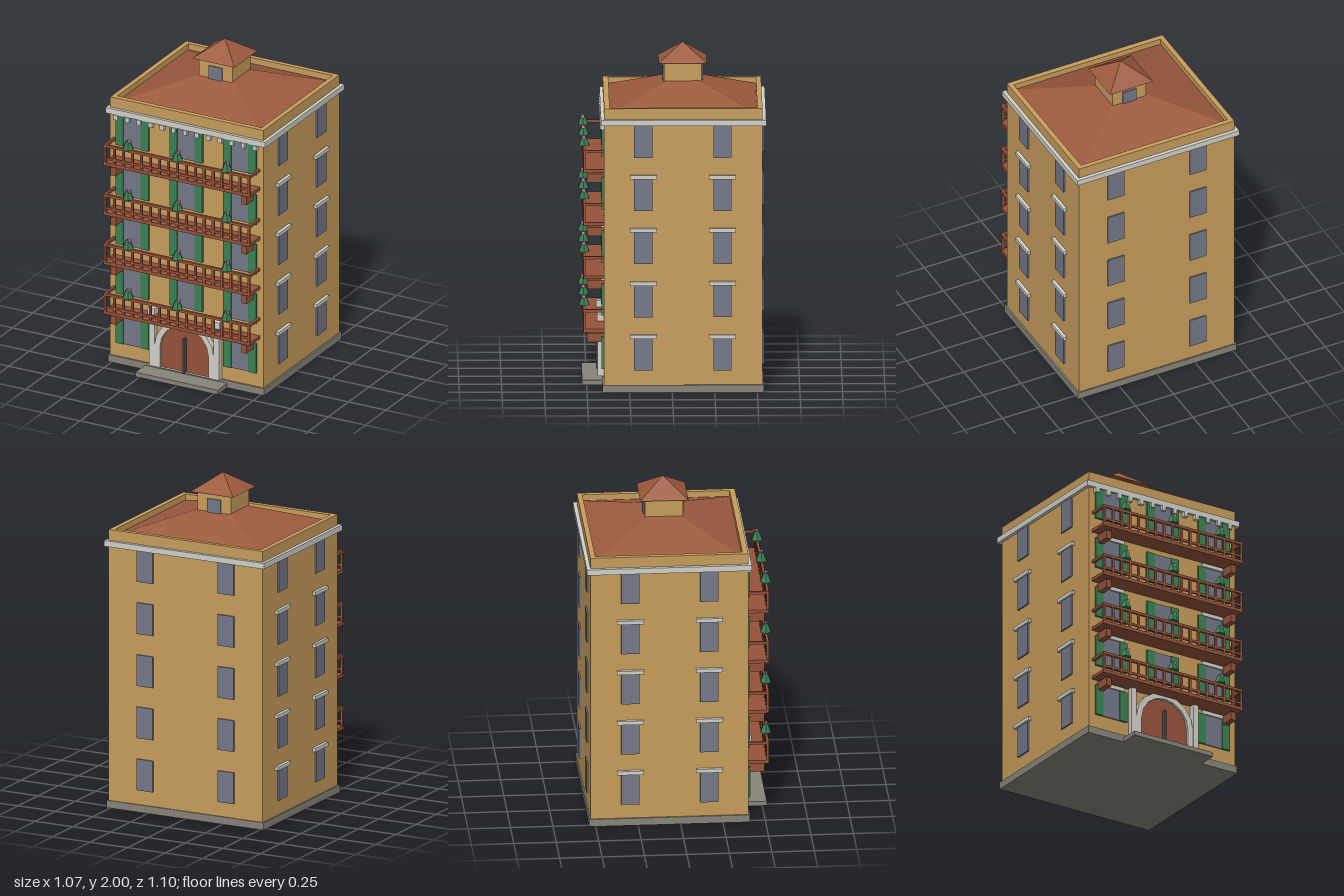
import * as THREE from 'three';

export function createModel() {
  const model = new THREE.Group();
  model.name = 'apartmentBuilding';

  const paint = (name, color) => {
    const m = new THREE.MeshStandardMaterial({ color });
    m.name = name;
    return m;
  };
  const wall = paint('ochreWall', 0xc89d5c);
  const trim = paint('paleTrim', 0xd2d2ca);
  const stone = paint('greyStone', 0x88847a);
  const roofTile = paint('roofTile', 0x9c5a3e);
  const wood = paint('redWood', 0x96533a);
  const glass = paint('windowGlass', 0x747888);
  const shutterGreen = paint('shutterGreen', 0x3a8254);
  const leaf = paint('leafGreen', 0x347a50);
  const pink = paint('flowerPink', 0xd882a0);
  const iron = paint('darkIron', 0x4c505c);

  const add = (name, geo, mat, parent = model) => {
    const mesh = new THREE.Mesh(geo, mat);
    mesh.name = name;
    parent.add(mesh);
    return mesh;
  };
  // box from its limits on each axis
  const box = (name, mat, x0, x1, y0, y1, z0, z1, parent) => {
    const mesh = add(name, new THREE.BoxGeometry(x1 - x0, y1 - y0, z1 - z0), mat, parent);
    mesh.position.set((x0 + x1) / 2, (y0 + y1) / 2, (z0 + z1) / 2);
    return mesh;
  };
  const group = (name, parent = model) => {
    const g = new THREE.Group();
    g.name = name;
    parent.add(g);
    return g;
  };
  // faceted four-sided pyramid
  const pyramid = (name, mat, hx, hz, y0, y1) => {
    let geo = new THREE.ConeGeometry(Math.SQRT2, 1, 4).rotateY(Math.PI / 4);
    geo.scale(hx, y1 - y0, hz);
    geo = geo.toNonIndexed();
    geo.computeVertexNormals();
    add(name, geo, mat).position.set(0, (y0 + y1) / 2, CZ);
  };

  const HX = 0.513, FRONT = 0.4, BACK = -0.53, CZ = -0.065;
  const FLOOR = 0.3175, SILL = 0.133, HEAD = 0.323;

  // main block, plinth, step and cornice
  box('plinth', stone, -0.523, 0.523, 0, 0.045, -0.538, 0.41);
  box('entranceStep', stone, -0.275, 0.275, 0, 0.028, 0.39, 0.527);
  box('walls', wall, -HX, HX, 0.045, 1.655, BACK, FRONT);
  box('cornice', trim, -0.534, 0.534, 1.595, 1.63, -0.552, 0.419);
  for (let i = -6; i <= 6; i++) {
    const x = i * 0.0775;
    box('dentil', trim, x - 0.013, x + 0.013, 1.565, 1.595, 0.39, 0.425);
  }

  // parapet ring
  const parapet = group('parapet');
  for (const s of [-1, 1]) {
    box('parapetSide', wall, s * 0.498 - 0.015, s * 0.498 + 0.015, 1.63, 1.695, BACK, FRONT, parapet);
  }
  box('parapetFront', wall, -0.483, 0.483, 1.63, 1.695, FRONT - 0.033, FRONT, parapet);
  box('parapetBack', wall, -0.483, 0.483, 1.63, 1.695, BACK, BACK + 0.03, parapet);

  // hipped roof with lantern
  pyramid('mainRoof', roofTile, 0.483, 0.434, 1.658, 1.823);
  box('lantern', wall, -0.111, 0.111, 1.775, 1.897, CZ - 0.111, CZ + 0.111);
  box('lanternWindowFront', glass, -0.045, 0.045, 1.775, 1.86, CZ + 0.11, CZ + 0.119);
  box('lanternWindowBack', glass, -0.045, 0.045, 1.775, 1.86, CZ - 0.119, CZ - 0.11);
  pyramid('lanternRoof', roofTile, 0.142, 0.142, 1.895, 2);

  // windows on every storey
  for (let i = 0; i < 5; i++) {
    const lift = i * FLOOR, y0 = SILL + lift, y1 = HEAD + lift;

    // side walls
    for (const s of [-1, 1]) {
      const side = group(s > 0 ? 'leftWindows' : 'rightWindows');
      for (const z of [0.17, -0.295]) {
        box('sideWindow', glass, s * 0.518 - 0.005, s * 0.518 + 0.005, y0, y1, z - 0.054, z + 0.054, side);
        if (i < 4) {
          box('sideLintel', trim, s * 0.522 - 0.011, s * 0.522 + 0.011, y1, y1 + 0.023, z - 0.079, z + 0.079, side);
        }
      }
      // back wall
      box('backWindow', glass, s * 0.27 - 0.054, s * 0.27 + 0.054, y0, y1, BACK - 0.009, BACK + 0.001);
    }

    // front wall, the ground floor centre is the doorway
    for (const x of [-0.36, 0, 0.36]) {
      if (i === 0 && x === 0) continue;
      const front = group('frontWindow');
      box('frontGlass', glass, x - 0.06, x + 0.06, y0, y1, FRONT - 0.001, FRONT + 0.008, front);
      for (const s of [-1, 1]) {
        const c = x + s * 0.084;
        box('shutter', shutterGreen, c - 0.026, c + 0.026, y0, y1, FRONT - 0.001, FRONT + 0.014, front);
      }
      if (i < 4 && x !== 0) {
        box('frontLintel', trim, x - 0.085, x + 0.085, y1, y1 + 0.023, FRONT - 0.001, FRONT + 0.018, front);
      }
    }
  }

  // arched doorway
  const archShape = (r, top, base) => {
    const spring = top - r, s = new THREE.Shape();
    s.moveTo(-r, base);
    s.lineTo(r, base);
    for (let i = 0; i <= 8; i++) {
      const a = (i / 8) * Math.PI;
      s.lineTo(Math.cos(a) * r, spring + Math.sin(a) * r);
    }
    return s;
  };
  const door = group('doorway');
  const ring = archShape(0.2, 0.375, 0.045);
  ring.holes.push(new THREE.Path(archShape(0.163, 0.34, 0.0452).getPoints()));
  const flat = (depth) => ({ depth, bevelEnabled: false });
  add('doorArch', new THREE.ExtrudeGeometry(ring, flat(0.035)), trim, door).position.z = 0.398;
  add('doorLeaf', new THREE.ExtrudeGeometry(archShape(0.165, 0.342, 0.045), flat(0.018)), wood, door).position.z = 0.398;
  box('doorBar', iron, -0.005, 0.005, 0.045, 0.265, 0.41, 0.443, door);
  for (const s of [-1, 1]) {
    box('doorPilaster', trim, s * 0.217 - 0.018, s * 0.217 + 0.018, 0.045, 0.376, 0.398, 0.435, door);
    box('doorCapital', trim, s * 0.217 - 0.023, s * 0.217 + 0.023, 0.376, 0.417, 0.398, 0.44, door);
  }

  // balconies with brackets, railing and potted shrubs
  const shrub = new THREE.CylinderGeometry(0.014, 0.036, 0.052, 6).rotateY(Math.PI / 6).toNonIndexed();
  shrub.computeVertexNormals();
  for (let k = 0; k < 4; k++) {
    const balcony = group('balcony');
    balcony.position.y = k * FLOOR;
    box('balconyFloor', wood, -0.49, 0.49, 0.355, 0.375, 0.398, 0.522, balcony);
    box('topRail', wood, -0.49, 0.49, 0.474, 0.49, 0.508, 0.524, balcony);
    box('lowRail', wood, -0.485, 0.485, 0.394, 0.408, 0.511, 0.521, balcony);
    for (const s of [-1, 1]) {
      box('sideRail', wood, s * 0.482 - 0.008, s * 0.482 + 0.008, 0.474, 0.49, 0.398, 0.51, balcony);
      box('bracket', wood, s * 0.437 - 0.018, s * 0.437 + 0.018, 0.29, 0.342, 0.398, 0.5, balcony);
    }
    for (let i = 0; i <= 16; i++) {
      const x = -0.48 + i * 0.06;
      box('baluster', wood, x - 0.007, x + 0.007, 0.374, 0.475, 0.51, 0.522, balcony);
    }
    for (const x of [-0.33, 0, 0.33]) {
      add('shrub', shrub, leaf, balcony).position.set(x, 0.517, 0.516);
      box('flower', pink, x + 0.002, x + 0.02, 0.532, 0.55, 0.509, 0.527, balcony);
    }
  }

  return model;
}
